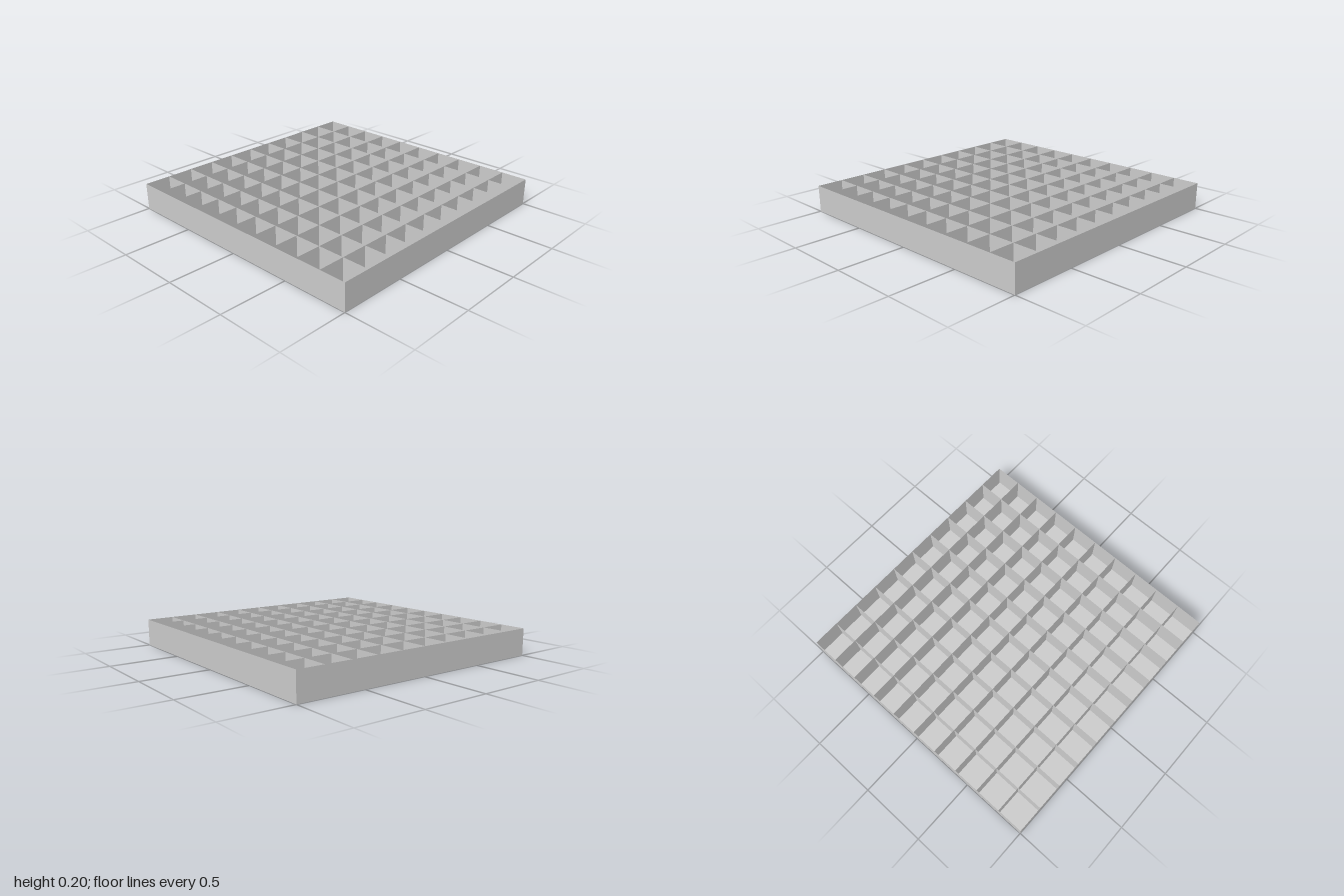
import * as THREE from 'three';

const SIZE = 2, HEIGHT = 0.2, CELLS = 10;

export function createModel() {
  const model = new THREE.Group();
  model.name = 'gridTray';
  const material = new THREE.MeshStandardMaterial({
    color: 0xcccccc, flatShading: true, side: THREE.DoubleSide,
  });

  // Flat bottom sheet
  const floor = new THREE.Mesh(new THREE.PlaneGeometry(SIZE, SIZE).rotateX(-Math.PI / 2), material);
  floor.name = 'floor';
  model.add(floor);

  // Paper-thin upright walls: rim and dividers in both directions
  const wallGeometry = new THREE.PlaneGeometry(SIZE, HEIGHT).translate(0, HEIGHT / 2, 0);
  for (let i = 0; i <= CELLS; i++) {
    const offset = -SIZE / 2 + (i * SIZE) / CELLS;
    const kind = i === 0 || i === CELLS ? 'outerWall' : 'divider';

    const across = new THREE.Mesh(wallGeometry, material);
    across.name = `${kind}Across${i}`;
    across.position.z = offset;

    const along = new THREE.Mesh(wallGeometry, material);
    along.name = `${kind}Along${i}`;
    along.rotation.y = Math.PI / 2;
    along.position.x = offset;

    model.add(across, along);
  }
  return model;
}
